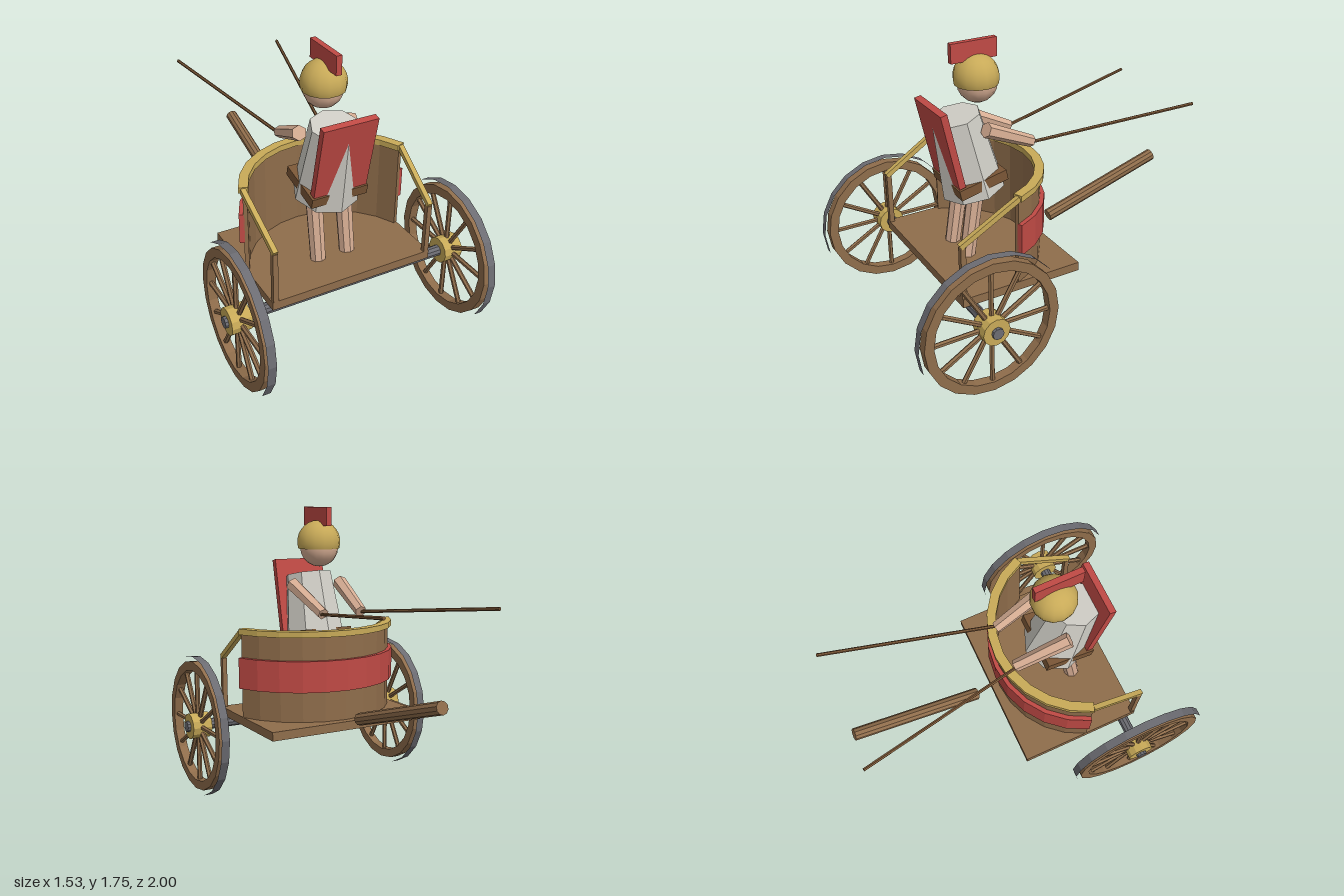
import * as THREE from 'three';

const mat = (name, color, side = THREE.FrontSide) => {
  const m = new THREE.MeshStandardMaterial({ color, side });
  m.name = name;
  return m;
};
const V = (x, y, z) => new THREE.Vector3(x, y, z);

// Faceted copy of a geometry
const flat = (g) => {
  const f = g.index ? g.toNonIndexed() : g;
  f.computeVertexNormals();
  return f;
};

function add(parent, name, geo, material, x = 0, y = 0, z = 0) {
  const m = new THREE.Mesh(geo, material);
  m.name = name;
  m.position.set(x, y, z);
  parent.add(m);
  return m;
}

// Straight faceted rod from a to b
function rod(parent, name, a, b, ra, rb, sides, material) {
  const m = add(parent, name, flat(new THREE.CylinderGeometry(rb, ra, a.distanceTo(b), sides)), material);
  m.position.copy(a).add(b).multiplyScalar(0.5);
  m.quaternion.setFromUnitVectors(V(0, 1, 0), b.clone().sub(a).normalize());
  return m;
}

// Square bar from a to b
function bar(parent, name, a, b, w, material) {
  const m = add(parent, name, new THREE.BoxGeometry(w, w, a.distanceTo(b)), material);
  m.position.copy(a).add(b).multiplyScalar(0.5);
  m.lookAt(b);
  return m;
}

// Curved panel bulging towards -z
function arcPanel(inner, outer, height, half = 1.222, segs = 10) {
  const pts = [];
  for (let i = 0; i <= segs; i++) {
    const a = -half + (2 * half * i) / segs;
    pts.push(new THREE.Vector2(outer * Math.sin(a), outer * Math.cos(a)));
  }
  for (let i = segs; i >= 0; i--) {
    const a = -half + (2 * half * i) / segs;
    pts.push(new THREE.Vector2(inner * Math.sin(a), inner * Math.cos(a)));
  }
  const g = new THREE.ExtrudeGeometry(new THREE.Shape(pts), { depth: height, bevelEnabled: false });
  return g.rotateX(-Math.PI / 2);
}

const ngon = (r, n) => Array.from({ length: n }, (_, i) => {
  const a = (i / n) * Math.PI * 2;
  return new THREE.Vector2(r * Math.cos(a), r * Math.sin(a));
});

export function createModel() {
  const wood = mat('wood', 0x8f6d4b);
  const leather = mat('leather', 0x7a5636);
  const iron = mat('iron', 0x6c6c72);
  const gold = mat('gold', 0xc8aa58, THREE.DoubleSide);
  const red = mat('red cloth', 0xc04a45);
  const linen = mat('linen', 0xcfcdc5);
  const skin = mat('skin', 0xd6ad93);

  const model = new THREE.Group();
  model.name = 'chariot';

  // Car: floor, curved front wall, painted band and top rail
  const car = new THREE.Group();
  car.name = 'car';
  model.add(car);
  add(car, 'floor', new THREE.BoxGeometry(1.01, 0.052, 0.74), wood, 0, 0.488, 0.27);
  add(car, 'frontWall', arcPanel(0.515, 0.54, 0.51), wood, 0, 0.514, 0.485);
  add(car, 'paintedBand', arcPanel(0.535, 0.565, 0.185), red, 0, 0.695, 0.485);
  add(car, 'topRail', arcPanel(0.508, 0.562, 0.035), gold, 0, 1.018, 0.485);
  for (const s of [-1, 1]) {
    add(car, 'rearPost', new THREE.BoxGeometry(0.03, 0.31, 0.03), wood, s * 0.485, 0.669, 0.627);
    bar(car, 'sideRail', V(s * 0.505, 1.035, 0.295), V(s * 0.485, 0.83, 0.64), 0.03, gold);
  }
  rod(car, 'drawPole', V(0, 0.55, -0.21), V(0, 0.78, -0.99), 0.037, 0.037, 10, wood);

  // Axle and wheels
  rod(model, 'axle', V(-0.765, 0.43, 0.57), V(0.765, 0.43, 0.57), 0.033, 0.033, 10, iron);
  const ring = new THREE.Shape(ngon(0.4, 20));
  ring.holes.push(new THREE.Path(ngon(0.345, 20)));
  const rimGeo = new THREE.ExtrudeGeometry(ring, { depth: 0.056, bevelEnabled: false })
    .translate(0, 0, -0.028).rotateY(Math.PI / 2);
  const tyreGeo = flat(new THREE.CylinderGeometry(0.43, 0.43, 0.05, 20, 1, true).rotateZ(Math.PI / 2));
  const hubGeo = flat(new THREE.CylinderGeometry(0.08, 0.08, 0.12, 12).rotateZ(Math.PI / 2));
  for (const s of [-1, 1]) {
    const wheel = new THREE.Group();
    wheel.name = 'wheel';
    wheel.position.set(s * 0.687, 0.43, 0.57);
    model.add(wheel);
    add(wheel, 'rim', rimGeo, wood);
    add(wheel, 'tyre', tyreGeo, iron);
    add(wheel, 'hub', hubGeo, gold);
    for (let i = 0; i < 12; i++) {
      const a = (i / 12) * Math.PI * 2;
      const c = Math.cos(a), n = Math.sin(a);
      rod(wheel, 'spoke', V(0, n * 0.06, c * 0.06), V(0, n * 0.36, c * 0.36), 0.015, 0.015, 6, wood);
    }
  }

  // Driver, leaning back
  const driver = new THREE.Group();
  driver.name = 'driver';
  model.add(driver);
  const torso = new THREE.Group();
  torso.name = 'torso';
  torso.position.set(0, 1.117, 0.354);
  torso.rotation.x = 0.213;
  driver.add(torso);
  add(torso, 'tunic', flat(new THREE.CylinderGeometry(0.143, 0.19, 0.47, 8)), linen);
  add(torso, 'belt', new THREE.BoxGeometry(0.35, 0.062, 0.3), leather, 0, -0.15, 0);
  add(torso, 'cape', new THREE.BoxGeometry(0.33, 0.46, 0.04), red, 0, 0.116, 0.124);

  for (const s of [-1, 1]) {
    rod(driver, 'leg', V(s * 0.095, 0.512, 0.4), V(s * 0.093, 0.92, 0.335), 0.046, 0.05, 8, skin);
    rod(driver, 'arm', V(s * 0.163, 1.295, 0.3), V(s * 0.127, 1.147, -0.01), 0.044, 0.035, 6, skin);
    rod(driver, 'rein', V(s * 0.135, 1.145, 0.0), V(s * 0.352, 1.253, -0.99), 0.01, 0.01, 6, leather);
  }

  // Head, helmet and crest
  add(driver, 'head', new THREE.SphereGeometry(0.115, 14, 10), skin, 0, 1.515, 0.263);
  add(driver, 'helmet', new THREE.SphereGeometry(0.13, 14, 8, 0, Math.PI * 2, 0, Math.PI * 0.6),
    gold, 0, 1.548, 0.268);
  add(driver, 'crest', new THREE.BoxGeometry(0.034, 0.11, 0.28), red, 0, 1.7, 0.285);

  return model;
}
